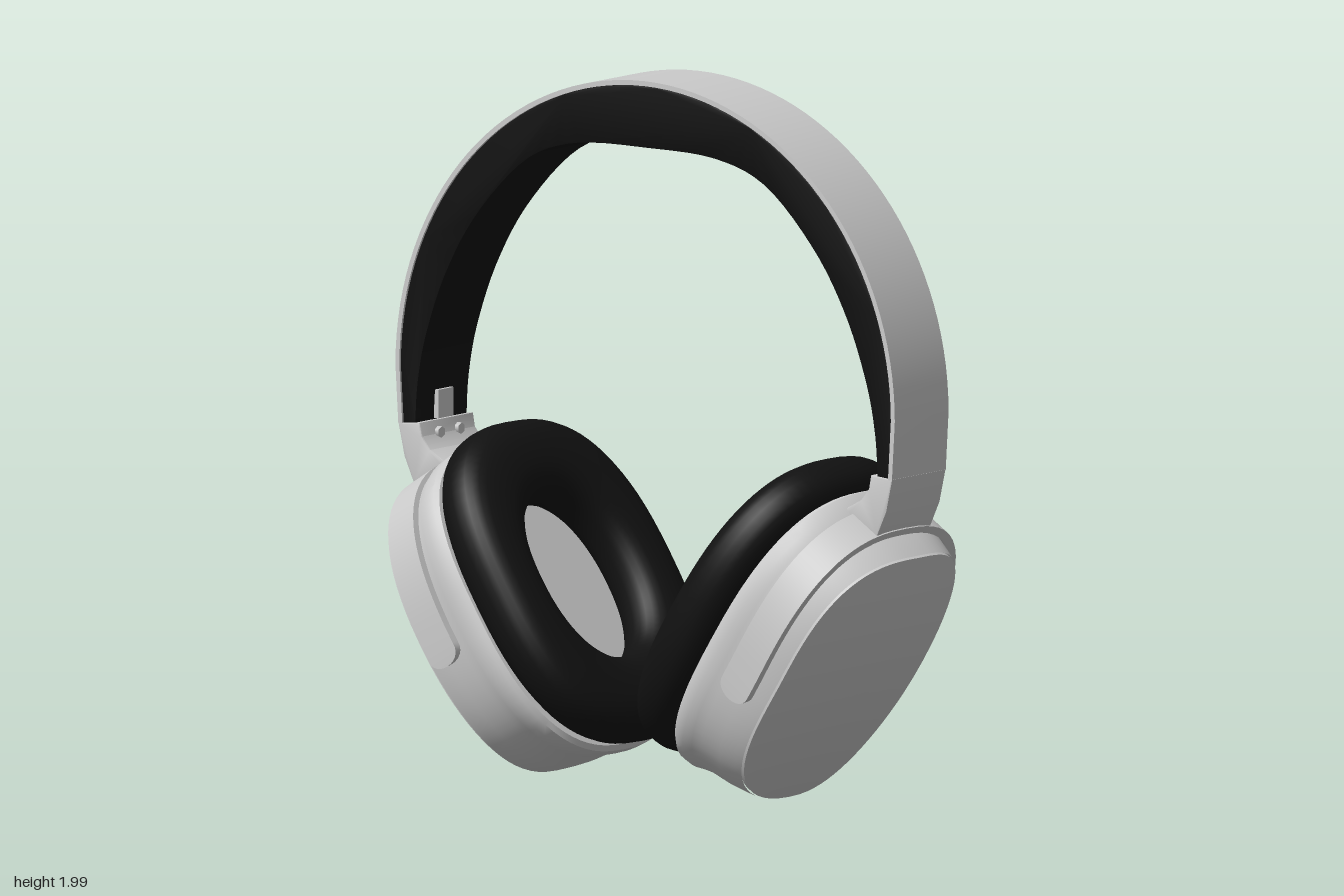
import * as THREE from 'three';
import { toCreasedNormals } from 'three/addons/utils/BufferGeometryUtils.js';

const grey = new THREE.MeshStandardMaterial({ color: 0xcccccc });
const black = new THREE.MeshStandardMaterial({ color: 0x111111 });
const SEG = 72;

function add(parent, name, geometry, material = grey) {
  const mesh = new THREE.Mesh(geometry, material);
  mesh.name = name;
  parent.add(mesh);
  return mesh;
}

// Point on a rounded oval of half width w and half height h
function oval(a, w, h, e = 2.6) {
  const c = Math.cos(a), s = Math.sin(a);
  return [w * Math.sign(c) * Math.abs(c) ** (2 / e), h * Math.sign(s) * Math.abs(s) ** (2 / e)];
}

// Skin over rows of closed rings; point(i, j) gives [x, y, z]
function loft(rows, cols, point, crease = 0.6) {
  const pos = [], idx = [];
  for (let i = 0; i < rows; i++) for (let j = 0; j < cols; j++) pos.push(...point(i, j));
  for (let i = 0; i < rows - 1; i++) for (let j = 0; j < cols; j++) {
    const a = i * cols + j, b = i * cols + (j + 1) % cols;
    idx.push(a, b, a + cols, b, b + cols, a + cols);
  }
  const g = new THREE.BufferGeometry();
  g.setAttribute('position', new THREE.Float32BufferAttribute(pos, 3));
  g.setIndex(idx);
  return toCreasedNormals(g, crease);
}

// Side profile of [z, y] points, extruded across x
function extrudeX(points, width, bevel) {
  const shape = new THREE.Shape(points.map(([z, y]) => new THREE.Vector2(z, y)));
  const g = new THREE.ExtrudeGeometry(shape, {
    depth: width - 2 * bevel, bevelEnabled: bevel > 0, bevelSize: bevel,
    bevelThickness: bevel, bevelOffset: -bevel, bevelSegments: 2,
  });
  g.translate(0, 0, bevel - width / 2).rotateY(-Math.PI / 2);
  return toCreasedNormals(g, 0.5);
}

// Gently domed outer face of the cup
const face = (x, y) => 0.385 - 0.055 * (y / 0.43) ** 2 - 0.07 * (x / 0.335) ** 2;

// Ear cup: local y runs up the cup, local z points outward from the head
function makeCup() {
  const cup = new THREE.Group();
  const angle = j => (j / SEG) * Math.PI * 2;

  // Shell rings: [fraction of depth, half width, half height]
  const rings = [[0, 0.001, 0.001], [0, 0.355, 0.465], [0.06, 0.362, 0.477], [0.2, 0.368, 0.474],
    [0.32, 0.362, 0.462], [0.45, 0.358, 0.452], [0.72, 0.35, 0.445], [0.92, 0.339, 0.434], [1, 0.333, 0.428]];
  add(cup, 'cupShell', loft(rings.length, SEG, (i, j) => {
    const [t, w, h] = rings[i];
    const [x, y] = oval(angle(j), w, h);
    return [x, y + 0.01 * t, 0.075 + (face(x, y) - 0.075) * t];
  }));

  // Outer cap, set off from the shell by a fine seam
  const capRows = 12;
  add(cup, 'outerCap', loft(capRows + 2, SEG, (i, j) => {
    const k = i < 2 ? 1 : 1 - (i - 1) / capRows;
    const [x, y] = oval(angle(j), 0.329 * k, 0.424 * k);
    return [x, y + 0.01, face(x, y) + (i === 0 ? -0.01 : 0.004)];
  }));

  // Ear cushion: a plump oval ring
  const n = 28;
  add(cup, 'earCushion', loft(n + 1, SEG, (i, j) => {
    const [r, z] = oval((i / n) * Math.PI * 2, 1, 0.09, 2.4);
    const [x, y] = oval(angle(j), 0.2925 + 0.0975 * r, 0.37 + 0.12 * r, 2.35 + 0.25 * r);
    return [x, y, z - 0.01];
  }), black);

  const cover = add(cup, 'speakerCover', new THREE.CylinderGeometry(1, 1, 0.02, 48).rotateX(Math.PI / 2));
  cover.scale.set(0.25, 0.31, 1);
  cover.position.z = 0.07;

  // Yoke: strap over the upper half, narrowing to rounded ends
  const m = 64, start = -0.12;
  add(cup, 'yoke', loft(m + 1, 4, (i, j) => {
    const u = (1 - Math.cos((i / m) * Math.PI)) / 2;
    const a = start + u * (Math.PI - 2 * start);
    const outer = j < 2;
    const [x, y] = oval(a, outer ? 0.382 : 0.358, outer ? 0.474 : 0.45);
    const d = Math.min(1, Math.min(u, 1 - u) / 0.018);
    const half = 0.052 * Math.sqrt(Math.max(0, 1 - (1 - d) ** 2));
    const mid = 0.228 - 0.025 * Math.max(0, Math.sin(a));
    return [x, y, mid + (j === 0 || j === 3 ? half : -half)];
  }));

  // Pivot pins joining yoke and shell
  for (const s of [-1, 1]) {
    const pin = add(cup, 'pivotPin', new THREE.CylinderGeometry(0.02, 0.02, 0.03, 16).rotateZ(Math.PI / 2));
    pin.position.set(s * 0.36, -0.06, 0.225);
  }
  return cup;
}

// Small block set on the side wall of a cup
function sideBlock(cup, name, side, y, z, length, width) {
  const w = 0.349, h = 0.444, e = 2.6;
  const x = w * (1 - Math.abs(y / h) ** e) ** (1 / e);
  const block = add(cup, name, new THREE.BoxGeometry(0.02, length, width));
  block.position.set(side * x, y + 0.007, z);
  const nx = x ** (e - 1) / w ** e, ny = -(Math.abs(y) ** (e - 1)) / h ** e;
  block.rotation.z = Math.atan2(ny, nx) * side;
}

export function createModel() {
  const model = new THREE.Group();
  model.name = 'headphones';

  // Headband arch: thin outer shell over a pad that thickens at the crown
  const arc = (r, foot) => {
    const pts = [[foot, 0.96]];
    for (let i = 0; i <= 64; i++) {
      const a = (i / 64) * Math.PI;
      pts.push([r * Math.cos(a), 1.125 + r * Math.sin(a)]);
    }
    return [...pts, [-foot, 0.96]];
  };
  const half = [[0.808, 0.965], [0.8, 1.08], [0.77, 1.22], [0.7, 1.4], [0.59, 1.575], [0.42, 1.74], [0.24, 1.803]];
  const under = new THREE.SplineCurve([...half, [0, 1.812], ...half.map(([z, y]) => [-z, y]).reverse()]
    .map(p => new THREE.Vector2(...p))).getPoints(72).map(p => [p.x, p.y]);
  add(model, 'headbandShell', extrudeX([...arc(0.875, 0.865), ...arc(0.861, 0.851).reverse()], 0.244, 0));
  add(model, 'headbandPad', extrudeX([...arc(0.862, 0.852), ...under.reverse()], 0.236, 0.006), black);

  for (const front of [true, false]) {
    const side = new THREE.Group();
    side.name = front ? 'frontSide' : 'backSide';
    if (!front) side.rotation.y = Math.PI;
    model.add(side);

    const cup = makeCup();
    cup.name = 'earCup';
    cup.rotation.x = 0.5704;
    cup.position.set(0, 0.545, 0.35);
    side.add(cup);

    // Stem between headband and yoke
    add(side, 'stem', extrudeX([[0.866, 0.962], [0.79, 0.968], [0.783, 0.93], [0.755, 0.895],
      [0.695, 0.862], [0.69, 0.84], [0.785, 0.78], [0.812, 0.798], [0.845, 0.87]], 0.244, 0.004));

    // Slider tab and screws on the inner face
    add(side, 'sliderTab', new THREE.BoxGeometry(0.07, 0.08, 0.02)).position.set(0, 1.01, 0.802);
    for (const x of [-0.045, 0.045]) {
      const screw = add(side, 'screw', new THREE.CylinderGeometry(0.016, 0.016, 0.02, 6).rotateX(Math.PI / 2));
      screw.position.set(x, 0.935, 0.782);
    }

    // Charging port on one cup, control buttons on the other
    if (front) {
      sideBlock(cup, 'port', 1, -0.23, 0.22, 0.055, 0.03);
    } else {
      for (const y of [-0.17, -0.26, -0.335]) sideBlock(cup, 'button', -1, y, 0.25, 0.055, 0.045);
    }
  }
  return model;
}
